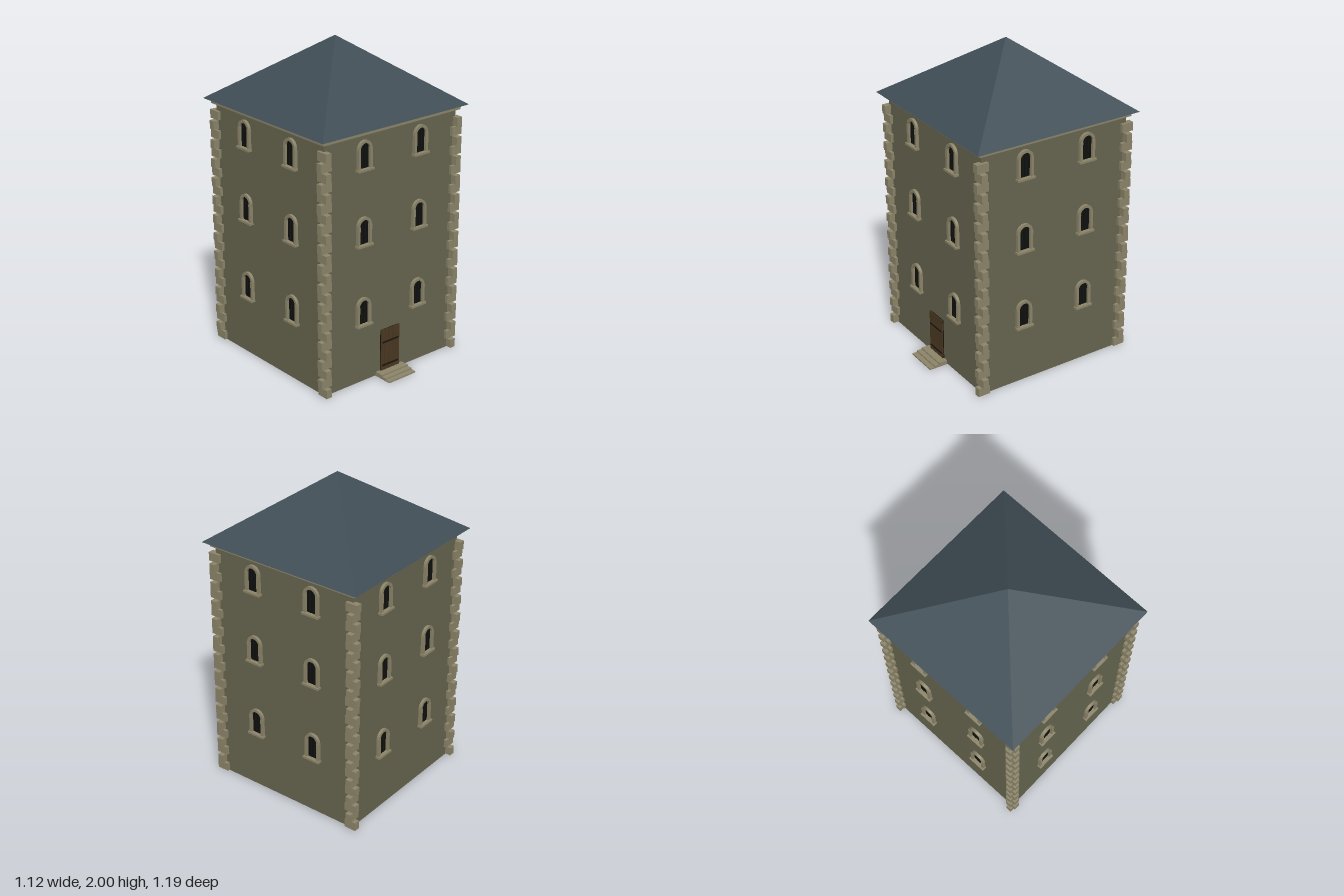
import * as THREE from 'three';

const mat = (name, color, extra = {}) => {
  const m = new THREE.MeshStandardMaterial({ color, ...extra });
  m.name = name;
  return m;
};

const WALL = 0.505; // half width of the tower
const BASE = 0.01;
const EAVES = 1.595;

export function createModel() {
  const wall = mat('wall plaster', 0x66654f);
  const trim = mat('trim stone', 0x8b8469);
  const slate = mat('roof slate', 0x3e4c54, { flatShading: true });
  const wood = mat('door wood', 0x4a3721);
  const iron = mat('black iron', 0x17150f);
  const dark = mat('window dark', 0x0d0e0e);
  const floor = mat('floor stone', 0x6b6452);

  const model = new THREE.Group();
  model.name = 'tower';
  const body = new THREE.Group();
  body.name = 'towerBody';
  body.position.z = -0.034;
  model.add(body);

  const add = (parent, name, geometry, material, x = 0, y = 0, z = 0) => {
    const mesh = new THREE.Mesh(geometry, material);
    mesh.name = name;
    mesh.position.set(x, y, z);
    parent.add(mesh);
    return mesh;
  };
  const box = (parent, name, material, w, h, d, x, y, z) =>
    add(parent, name, new THREE.BoxGeometry(w, h, d), material, x, y, z);

  // Walls, floor slab and cornice
  box(body, 'walls', wall, WALL * 2, 1.57, WALL * 2, 0, 0.795, 0);
  box(body, 'floorSlab', floor, WALL * 2, 0.006, WALL * 2, 0, BASE - 0.003, 0);
  box(body, 'cornice', trim, 1.054, 0.028, 1.054, 0, 1.579, 0);

  // Pyramid roof
  const roofHeight = 2 - EAVES;
  const roofGeo = new THREE.ConeGeometry(0.561 * Math.SQRT2, roofHeight, 4);
  roofGeo.rotateY(Math.PI / 4);
  add(body, 'roof', roofGeo, slate, 0, EAVES + roofHeight / 2, 0);

  // Corner stones, long side alternating between the two faces
  const corners = [[1, 1], [1, -1], [-1, 1], [-1, -1]];
  const alongZ = new THREE.BoxGeometry(0.038, 0.054, 0.078);
  const alongX = new THREE.BoxGeometry(0.078, 0.054, 0.038);
  for (const [sx, sz] of corners) {
    const stack = new THREE.Group();
    stack.name = 'cornerStones';
    stack.position.set(sx * WALL, 0, sz * WALL);
    for (let i = 0; i < 25; i++) {
      add(stack, 'cornerStone', i % 2 ? alongX : alongZ, trim, 0, 0.034 + i * 0.0609, 0);
    }
    body.add(stack);
  }

  // Window parts: arched pane, arch ring, jambs, sill and bars
  const HALF = 0.036, SPRING = 0.118;
  const paneShape = new THREE.Shape();
  paneShape.moveTo(-HALF, 0);
  paneShape.lineTo(HALF, 0);
  paneShape.lineTo(HALF, SPRING);
  paneShape.absarc(0, SPRING, HALF, 0, Math.PI, false);
  const paneGeo = new THREE.ExtrudeGeometry(paneShape, { depth: 0.004, bevelEnabled: false, curveSegments: 8 });

  const archShape = new THREE.Shape();
  archShape.absarc(0, SPRING, 0.052, 0, Math.PI, false);
  archShape.absarc(0, SPRING, HALF - 0.001, Math.PI, 0, true);
  const archGeo = new THREE.ExtrudeGeometry(archShape, { depth: 0.018, bevelEnabled: false, curveSegments: 10 });

  const makeWindow = () => {
    const g = new THREE.Group();
    g.name = 'window';
    add(g, 'windowPane', paneGeo, dark);
    add(g, 'windowArch', archGeo, trim);
    for (const s of [-1, 1]) {
      box(g, 'windowJamb', trim, 0.018, SPRING, 0.02, s * 0.044, SPRING / 2, 0.01);
      box(g, 'windowBar', iron, 0.003, 0.145, 0.003, s * 0.012, 0.0725, 0.005);
    }
    box(g, 'windowSill', trim, 0.118, 0.013, 0.03, 0, -0.0055, 0.015);
    return g;
  };

  // Three rows of two windows on each of the four faces
  for (let k = 0; k < 4; k++) {
    const face = new THREE.Group();
    face.name = 'wallFaceWindows';
    face.rotation.y = (k * Math.PI) / 2;
    for (const y of [0.388, 0.897, 1.362]) {
      for (const x of [-0.216, 0.216]) {
        const w = makeWindow();
        w.position.set(x, y, WALL);
        face.add(w);
      }
    }
    body.add(face);
  }

  // Plank door with iron straps
  const door = new THREE.Group();
  door.name = 'door';
  door.position.z = WALL;
  box(door, 'doorBacking', iron, 0.146, 0.276, 0.006, 0, 0.159, 0.003);
  for (let i = 0; i < 5; i++) {
    box(door, 'doorPlank', wood, 0.0272, 0.276, 0.01, (i - 2) * 0.0296, 0.159, 0.006);
  }
  for (const y of [0.06, 0.214]) {
    box(door, 'doorStrap', iron, 0.128, 0.01, 0.004, 0, y, 0.0125);
  }
  body.add(door);

  // Front steps
  const steps = new THREE.Group();
  steps.name = 'frontSteps';
  [0.594, 0.561, 0.528].forEach((front, i) => {
    const depth = front - 0.46;
    box(steps, 'step', trim, 0.212, 0.009, depth, 0, 0.0045 + i * 0.009, front - depth / 2);
  });
  model.add(steps);

  return model;
}
